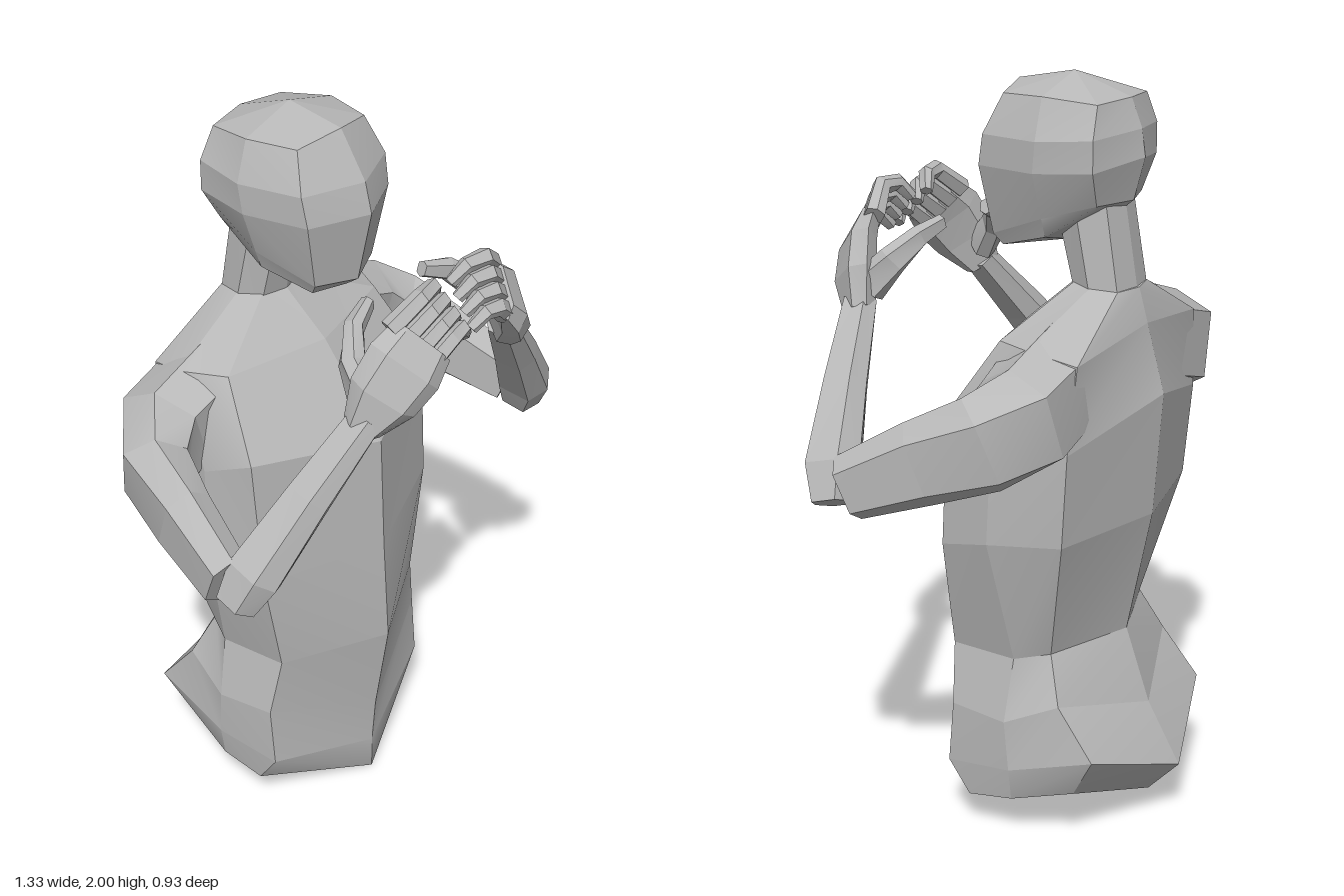
import * as THREE from 'three';

const grey = new THREE.MeshStandardMaterial({ color: 0xb8b8b8 });
grey.name = 'clay grey';
const V = (p) => new THREE.Vector3(...p);

// Skin a stack of equal-length rings, closing the ends with fans.
// Every face owns its corners, so each one is shaded as a single flat facet.
function loft(name, rings, bottom, top) {
  const pos = [];
  const index = [];
  const face = (...ps) => {
    const s = pos.length / 3;
    ps.forEach((p) => pos.push(p.x, p.y, p.z));
    for (let i = 2; i < ps.length; i++) index.push(s, s + i - 1, s + i);
  };
  const n = rings[0].length;
  const centre = (r) => r.reduce((s, p) => s.add(p), new THREE.Vector3()).divideScalar(n);
  const last = rings[rings.length - 1];
  const c0 = bottom ? V(bottom) : centre(rings[0]);
  const c1 = top ? V(top) : centre(last);
  for (let j = 0; j < n; j++) {
    const k = (j + 1) % n;
    for (let i = 0; i < rings.length - 1; i++) {
      const quad = [rings[i][j], rings[i][k], rings[i + 1][k], rings[i + 1][j]];
      // Turn the diagonal on one half so that both halves match
      if (j >= n / 2) quad.push(quad.shift());
      face(...quad);
    }
    face(c0, rings[0][k], rings[0][j]);
    face(c1, last[j], last[k]);
  }
  const g = new THREE.BufferGeometry();
  g.setAttribute('position', new THREE.Float32BufferAttribute(pos, 3));
  g.setIndex(index);
  g.computeVertexNormals();
  const mesh = new THREE.Mesh(g, grey);
  mesh.name = name;
  return mesh;
}

// Half ring (front centre, front side, side, back side, back centre) to full ring
function mirrorRing(half) {
  const other = half.slice(1, -1).reverse().map(([x, y, z]) => [-x, y, z]);
  return [...half, ...other].map(V);
}

// Faceted six-sided limb along [x, y, z, thickness, width] stations; "across" sets the width direction
function limb(name, stations, across, side) {
  const flip = ([x, y, z]) => new THREE.Vector3(x * side, y, z);
  const boxy = (c) => Math.sign(c) * Math.abs(c) ** 0.7;
  const pts = stations.map(flip);
  const up = flip(across);
  const rings = pts.map((p, i) => {
    const t = new THREE.Vector3();
    if (i > 0) t.add(p.clone().sub(pts[i - 1]).normalize());
    if (i < pts.length - 1) t.add(pts[i + 1].clone().sub(p).normalize());
    t.normalize();
    const v = up.clone().addScaledVector(t, -up.dot(t)).normalize();
    const u = v.clone().cross(t);
    const [, , , a, b] = stations[i];
    return Array.from({ length: 6 }, (_, j) => {
      const ang = ((j + 0.5) / 6) * Math.PI * 2;
      return p.clone().addScaledVector(u, boxy(Math.cos(ang)) * a).addScaledVector(v, boxy(Math.sin(ang)) * b);
    });
  });
  return loft(name, rings);
}

function createArm(side) {
  const arm = new THREE.Group();
  arm.name = side > 0 ? 'leftArm' : 'rightArm';
  arm.add(limb('upperArm', [
    [0.2, 1.28, -0.205, 0.125, 0.145],
    [0.4, 1.215, -0.215, 0.115, 0.145],
    [0.505, 1.17, -0.16, 0.088, 0.13],
    [0.56, 1.115, -0.02, 0.066, 0.11],
    [0.61, 1.035, 0.16, 0.055, 0.085],
  ], [0, 1, 0], side));
  arm.add(limb('forearm', [
    [0.615, 0.99, 0.2, 0.055, 0.055],
    [0.58, 1.07, 0.225, 0.064, 0.075],
    [0.44, 1.24, 0.28, 0.052, 0.06],
    [0.29, 1.41, 0.335, 0.036, 0.048],
  ], [0, 0, 1], side));

  const hand = new THREE.Group();
  hand.name = 'hand';
  hand.add(limb('palm', [
    [0.3, 1.39, 0.33, 0.036, 0.05],
    [0.265, 1.47, 0.365, 0.042, 0.09],
    [0.215, 1.54, 0.39, 0.038, 0.1],
    [0.16, 1.59, 0.4, 0.026, 0.085],
  ], [-0.05, -0.12, 0.1], side));
  hand.add(limb('thumb', [
    [0.275, 1.45, 0.32, 0.035, 0.05],
    [0.25, 1.52, 0.26, 0.032, 0.04],
    [0.19, 1.575, 0.22, 0.025, 0.03],
    [0.11, 1.6, 0.2, 0.017, 0.021],
  ], [0, 1, 0], side));
  // Four curled fingers, from index to little finger, meeting the other hand at the tips
  const first = [[0.21, 1.62, 0.34], [0.13, 1.68, 0.37], [0.07, 1.68, 0.36], [0.035, 1.64, 0.34]];
  const little = [[0.16, 1.53, 0.42], [0.095, 1.58, 0.438], [0.05, 1.585, 0.435], [0.014, 1.55, 0.42]];
  const radii = [0.027, 0.024, 0.021, 0.016];
  for (let f = 0; f < 4; f++) {
    const path = first.map((p, i) => {
      const q = V(p).lerp(V(little[i]), f / 3);
      return [q.x, q.y, q.z, radii[i], radii[i]];
    });
    hand.add(limb('finger' + (f + 1), path, [-0.05, -0.12, 0.1], side));
  }
  arm.add(hand);
  return arm;
}

export function createModel() {
  const model = new THREE.Group();
  model.name = 'figureBust';

  // Torso from hips to the shoulder line and neck base
  const torso = [
    [[0, 0, 0.15], [0.32, 0.1, 0], [0.32, 0.12, -0.13], [0.27, 0.155, -0.29], [0, 0.07, -0.375]],
    [[0, 0.1, 0.15], [0.325, 0.19, 0.06], [0.335, 0.21, -0.13], [0.31, 0.28, -0.365], [0, 0.165, -0.465]],
    [[0, 0.24, 0.16], [0.325, 0.36, 0.045], [0.34, 0.35, -0.12], [0.3, 0.41, -0.26], [0, 0.33, -0.37]],
    [[0, 0.51, 0.2], [0.29, 0.52, 0.06], [0.305, 0.52, -0.13], [0.25, 0.53, -0.21], [0, 0.53, -0.3]],
    [[0, 0.81, 0.18], [0.35, 0.82, 0.055], [0.388, 0.86, -0.1], [0.34, 0.87, -0.29], [0, 0.87, -0.37]],
    [[0, 1.13, 0.165], [0.36, 1.18, 0.03], [0.38, 1.12, -0.11], [0.35, 1.12, -0.31], [0, 1.2, -0.395]],
    [[0, 1.37, -0.02], [0.3, 1.37, -0.09], [0.36, 1.375, -0.2], [0.32, 1.34, -0.32], [0, 1.38, -0.345]],
    [[0, 1.48, -0.15], [0.07, 1.48, -0.17], [0.1, 1.475, -0.23], [0.08, 1.47, -0.3], [0, 1.47, -0.32]],
  ].map(mirrorRing);
  model.add(loft('torso', torso, [0, 0.03, -0.13]));

  const neck = [
    [[0, 1.46, -0.15], [0.07, 1.46, -0.17], [0.1, 1.46, -0.23], [0.08, 1.46, -0.3], [0, 1.46, -0.315]],
    [[0, 1.62, -0.12], [0.07, 1.62, -0.13], [0.095, 1.65, -0.19], [0.075, 1.7, -0.26], [0, 1.7, -0.275]],
  ].map(mirrorRing);
  model.add(loft('neck', neck));

  // Head from jaw to crown
  const head = [
    [[0, 1.555, 0.05], [0.1, 1.56, 0.02], [0.13, 1.6, -0.12], [0.09, 1.67, -0.24], [0, 1.67, -0.275]],
    [[0, 1.58, 0.085], [0.115, 1.59, 0.04], [0.15, 1.65, -0.12], [0.12, 1.69, -0.26], [0, 1.69, -0.3]],
    [[0, 1.77, 0.125], [0.16, 1.77, 0.055], [0.195, 1.77, -0.12], [0.17, 1.78, -0.275], [0, 1.8, -0.33]],
    [[0, 1.85, 0.105], [0.165, 1.85, 0.04], [0.2, 1.85, -0.13], [0.17, 1.86, -0.275], [0, 1.87, -0.32]],
    [[0, 1.97, 0.03], [0.13, 1.95, 0], [0.165, 1.955, -0.13], [0.13, 1.94, -0.265], [0, 1.945, -0.29]],
  ].map(mirrorRing);
  model.add(loft('head', head, [0, 1.57, -0.11], [0, 2, -0.13]));

  for (const side of [1, -1]) model.add(createArm(side));
  return model;
}
